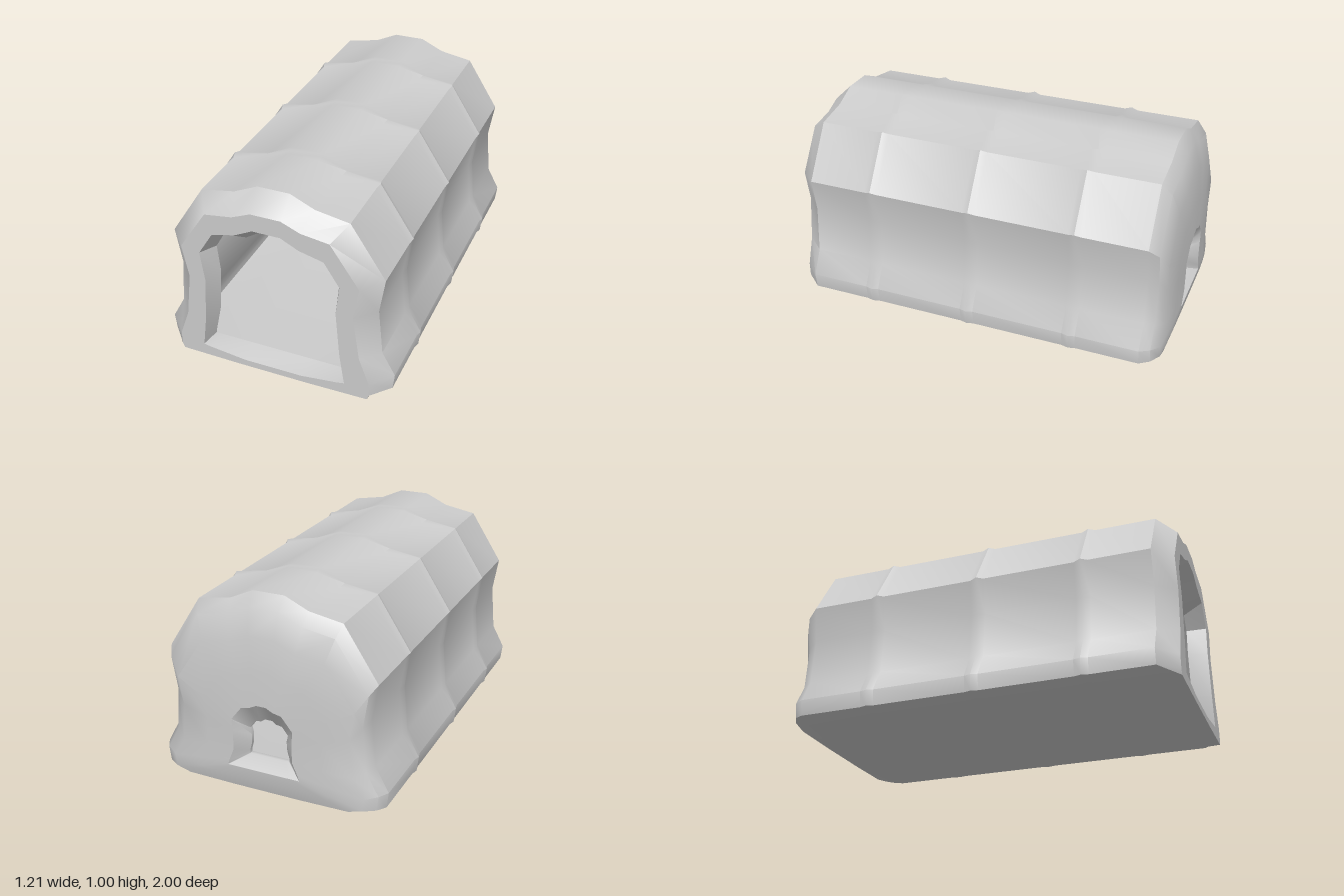
import * as THREE from 'three';
import { toCreasedNormals } from 'three/addons/utils/BufferGeometryUtils.js';

// Half profiles from bottom middle up the model's left side to the crown
const OUTER = [[0.2, 0], [0.5, 0.005], [0.585, 0.03], [0.595, 0.11], [0.53, 0.23], [0.51, 0.47], [0.54, 0.65], [0.37, 0.915], [0.2, 0.945], [0.08, 1]];
const FACE = [[0.18, 0], [0.49, 0.005], [0.5, 0.03], [0.5, 0.1], [0.45, 0.24], [0.42, 0.47], [0.45, 0.64], [0.31, 0.85], [0.17, 0.87], [0.075, 0.91]];
const DOOR = [[0.15, 0.035], [0.34, 0.058], [0.375, 0.065], [0.372, 0.085], [0.352, 0.23], [0.335, 0.47], [0.355, 0.625], [0.28, 0.745], [0.16, 0.775], [0.07, 0.82]];
const DOOR_IN = [[0.15, 0.065], [0.33, 0.065], [0.36, 0.066], [0.357, 0.085], [0.325, 0.23], [0.305, 0.47], [0.318, 0.61], [0.275, 0.685], [0.155, 0.7], [0.07, 0.755]];
const ROOM = [[0.17, 0.065], [0.43, 0.065], [0.49, 0.07], [0.49, 0.11], [0.44, 0.23], [0.42, 0.47], [0.45, 0.62], [0.31, 0.83], [0.17, 0.855], [0.075, 0.9]];
const FLARE = [[0.07, 0.13], [0.14, 0.13], [0.19, 0.13], [0.18, 0.16], [0.155, 0.22], [0.155, 0.32], [0.16, 0.38], [0.105, 0.45], [0.06, 0.46], [0.025, 0.478]];
const THROAT = [[0.04, 0.175], [0.08, 0.175], [0.105, 0.175], [0.106, 0.19], [0.095, 0.23], [0.092, 0.28], [0.1, 0.315], [0.07, 0.355], [0.04, 0.36], [0.018, 0.375]];
const CROWN = 9;

// Mirrors a half profile into a closed ring at depth z
function ring(half, z) {
  const left = half.map(([x, y]) => [x, y, z]);
  const right = half.map(([x, y]) => [-x, y, z]).reverse();
  return [...left, ...right];
}

// Pulls a profile toward a centre height
const shrink = (half, sx, sy, cy) => half.map(([x, y]) => [x * sx, cy + (y - cy) * sy]);

// Blends two profiles
const mix = (a, b, t) => a.map(([x, y], i) => [x + (b[i][0] - x) * t, y + (b[i][1] - y) * t]);

// Pushes the sides and shoulders outward to form a rib; base and crown stay level
const ribbed = (half, d) => half.map(([x, y], i) => (i < 2 || i === CROWN ? [x, y] : [x + d, y + (i > 5 ? d : 0)]));

function loft(name, rings, crease, material) {
  const pos = [], idx = [], n = rings[0].length;
  rings.forEach((r) => r.forEach((p) => pos.push(...p)));
  for (let i = 0; i < rings.length - 1; i++) {
    for (let j = 0; j < n; j++) {
      const k = (j + 1) % n, a = i * n + j, b = i * n + k;
      idx.push(a, a + n, b, b, a + n, b + n);
    }
  }
  const geo = new THREE.BufferGeometry();
  geo.setAttribute('position', new THREE.Float32BufferAttribute(pos, 3));
  geo.setIndex(idx);
  const mesh = new THREE.Mesh(toCreasedNormals(geo, crease), material);
  mesh.name = name;
  return mesh;
}

export function createModel() {
  const group = new THREE.Group();
  group.name = 'tunnelShelter';
  const material = new THREE.MeshStandardMaterial({ color: 0xcccccc, roughness: 0.9 });

  // Outer skin: front face, ribbed barrel, domed back wall
  const shell = [ring(DOOR, 1), ring(FACE, 1), ring(OUTER, 0.905)];
  for (const z of [0.56, 0.02, -0.53]) {
    shell.push(ring(OUTER, z + 0.035), ring(ribbed(OUTER, 0.009), z), ring(OUTER, z - 0.035));
  }
  const back = shrink(OUTER, 0.85, 0.8, 0.05);
  shell.push(
    ring(OUTER, -0.89),
    ring(shrink(OUTER, 0.95, 0.93, 0.1), -0.94),
    ring(back, -0.975),
    ring(mix(back, FLARE, 0.5), -0.993),
    ring(FLARE, -1),
  );
  group.add(loft('shell', shell, 0.65, material));

  // Front doorway bevel
  group.add(loft('doorFrame', [ring(DOOR_IN, 0.9), ring(DOOR, 1)], 0.5, material));

  // Small flared opening through the back wall
  group.add(loft('backOpening', [ring(FLARE, -1), ring(THROAT, -0.93), ring(THROAT, -0.91), ring(FLARE, -0.85)], 0.65, material));

  // Hollow interior, facing inward
  group.add(loft('interior', [
    ring(FLARE, -0.85), ring(mix(FLARE, ROOM, 0.85), -0.84), ring(ROOM, -0.8),
    ring(ROOM, 0.85), ring(DOOR_IN, 0.9),
  ], 0.65, material));

  return group;
}
